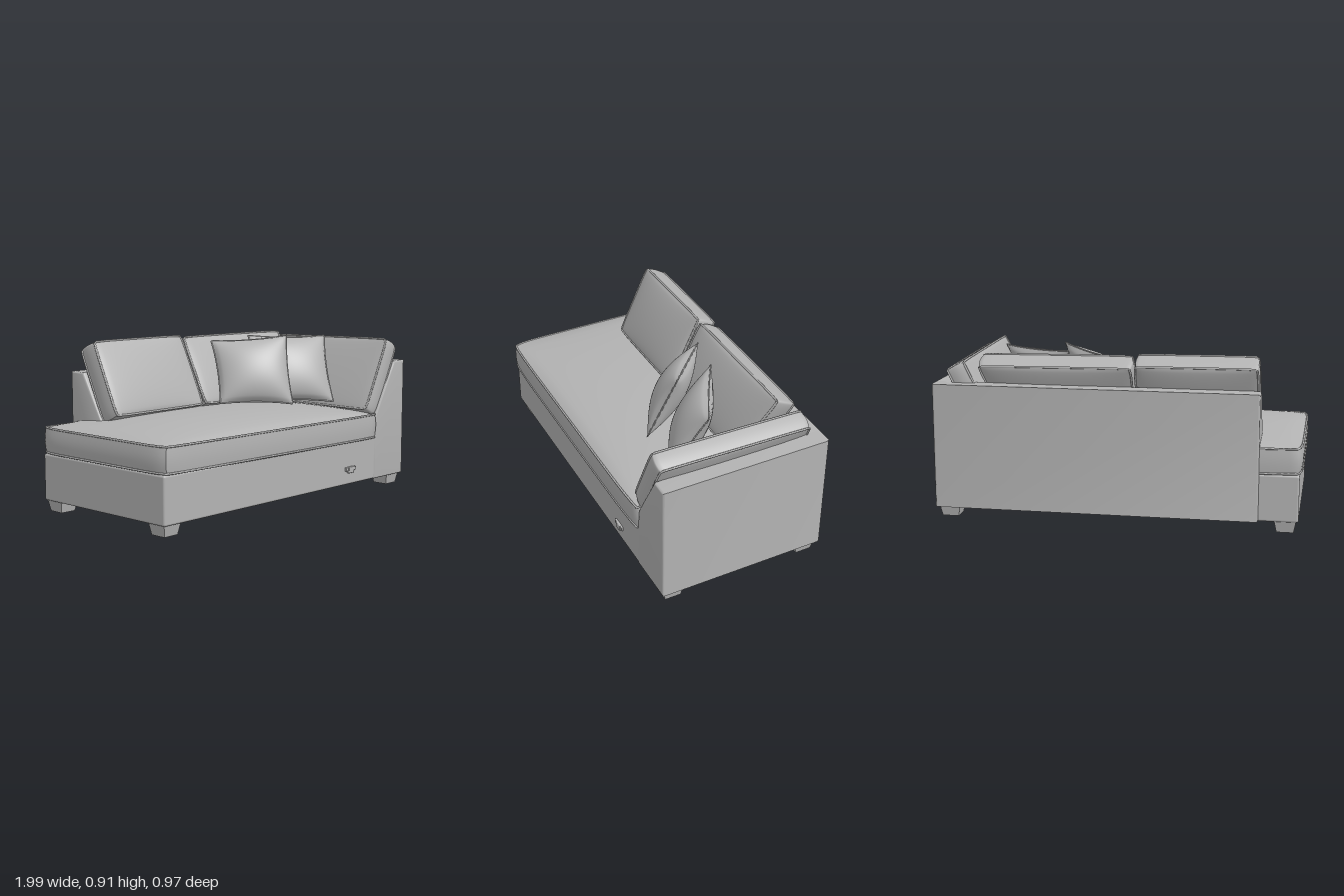
import * as THREE from 'three';
import { toCreasedNormals } from 'three/addons/utils/BufferGeometryUtils.js';
import { RoundedBoxGeometry } from 'three/addons/geometries/RoundedBoxGeometry.js';
import { ParametricGeometry } from 'three/addons/geometries/ParametricGeometry.js';

const V = (x, y, z) => new THREE.Vector3(x, y, z);

export function createModel() {
  const sofa = new THREE.Group();
  sofa.name = 'sofa';
  const fabric = new THREE.MeshStandardMaterial({ color: 0xb3b3b3 });
  fabric.name = 'greyFabric';

  function add(geometry, name, parent = sofa) {
    const mesh = new THREE.Mesh(geometry, fabric);
    mesh.name = name;
    parent.add(mesh);
    return mesh;
  }

  // Stuffed cushion around a quad (bottom left, bottom right, top right, top left).
  // edge: half thickness at the seam, puff: extra in the middle,
  // pinch: how far the sides curve in, round: corner rounding.
  function cushion(name, [bl, br, tr, tl], { edge, puff, pinch = 0, round = 0, bulge = 0, piping = 0.006 }) {
    const group = new THREE.Group();
    group.name = name;
    sofa.add(group);
    const normal = br.clone().sub(bl).cross(tl.clone().sub(bl)).normalize();

    function point(u, v, offset, scale, target) {
      let a = 2 * u - 1, b = 2 * v - 1;
      const corner = 1 - round * Math.pow(a * b, 8);
      const pa = a * corner * (1 - pinch * (1 - b * b)) * scale;
      const pb = b * corner * (1 - pinch * (1 - a * a)) * scale;
      a = (pa + 1) / 2;
      b = (pb + 1) / 2;
      return target.set(0, 0, 0)
        .addScaledVector(bl, (1 - a) * (1 - b)).addScaledVector(br, a * (1 - b))
        .addScaledVector(tr, a * b).addScaledVector(tl, (1 - a) * b)
        .addScaledVector(normal, offset);
    }
    // Point on the outline, counterclockwise, t from 0 to 1
    function outline(t) {
      const s = (t % 1) * 4, k = Math.floor(s), f = s - k;
      return [[f, 0], [1, f], [1 - f, 1], [0, 1 - f]][k];
    }
    const swell = (u, v) => edge + puff * Math.pow(Math.max(0, 16 * u * (1 - u) * v * (1 - v)), 0.55);

    const surface = (fn, cols, rows, part) => {
      const g = new ParametricGeometry(fn, cols, rows);
      g.computeVertexNormals();
      add(g, part, group);
    };
    surface((u, v, p) => point(u, v, swell(u, v), 1, p), 32, 32, 'frontPanel');
    surface((u, v, p) => point(1 - u, v, -swell(1 - u, v), 1, p), 32, 32, 'backPanel');
    if (edge > 0.01) {
      surface((t, v, p) => {
        const [a, b] = outline(t);
        return point(a, b, edge * (2 * v - 1), 1 + bulge * Math.sin(Math.PI * v), p);
      }, 128, 6, 'sidePanel');
    }
    // Piping along the seams
    for (const side of edge > 0.01 ? [1, -1] : [0]) {
      const pts = [];
      for (let i = 0; i < 96; i++) {
        const [a, b] = outline(i / 96);
        pts.push(point(a, b, edge * side, 1, V(0, 0, 0)));
      }
      add(new THREE.TubeGeometry(new THREE.CatmullRomCurve3(pts, true), 128, piping, 6, true), 'piping', group);
    }
  }

  // Base under the seat
  const base = add(new RoundedBoxGeometry(1.74, 0.255, 0.935, 3, 0.012), 'base');
  base.position.set(-0.11, 0.1875, -0.0045);

  // Arm and back share one sloped profile
  function slopedPanel(outer, length) {
    const shape = new THREE.Shape();
    [[-0.265, 0.07], [0, 0.07], [0, 0.728], [-0.08, 0.728], [-0.25, 0.43], [-0.265, 0.3]]
      .forEach(([x, y], i) => (i ? shape.lineTo(outer + x, y) : shape.moveTo(outer + x, y)));
    const g = new THREE.ExtrudeGeometry(shape, {
      depth: length - 0.024, bevelEnabled: true, bevelSize: 0.012, bevelThickness: 0.012, bevelSegments: 4,
    });
    return toCreasedNormals(g, 0.7);
  }
  const arm = add(slopedPanel(0.983, 0.95), 'arm');
  arm.position.z = -0.473;
  const back = add(slopedPanel(0.476, 1.762), 'back');
  back.rotation.y = Math.PI / 2;
  back.position.x = -0.757;

  // Seat cushion
  cushion('seatCushion',
    [V(-0.99, 0.39, 0.48), V(0.73, 0.375, 0.48), V(0.73, 0.375, -0.475), V(-0.99, 0.39, -0.475)],
    { edge: 0.067, puff: 0.065, round: 0.025, bulge: 0.008 });

  // Back cushions, leaning back
  const leaning = { edge: 0.058, puff: 0.025, round: 0.02, bulge: 0.02 };
  cushion('backCushionRight',
    [V(-0.75, 0.5, -0.19), V(-0.1, 0.5, -0.19), V(-0.1, 0.88, -0.37), V(-0.75, 0.885, -0.37)], leaning);
  cushion('backCushionLeft',
    [V(-0.08, 0.5, -0.19), V(0.63, 0.49, -0.19), V(0.755, 0.86, -0.37), V(-0.08, 0.87, -0.37)], leaning);

  // Arm cushion
  cushion('armCushion',
    [V(0.69, 0.45, -0.41), V(0.69, 0.45, 0.45), V(0.885, 0.85, 0.45), V(0.885, 0.83, -0.41)],
    { ...leaning, edge: 0.052, puff: 0.015 });

  // Throw pillows
  const soft = { edge: 0, puff: 0.085, pinch: 0.06, piping: 0.004 };
  cushion('pillowRight',
    [V(-0.04, 0.53, -0.06), V(0.29, 0.52, 0.2), V(0.38, 0.9, 0.07), V(0.06, 0.87, -0.23)], soft);
  cushion('pillowLeft',
    [V(0.25, 0.52, 0), V(0.615, 0.505, 0.235), V(0.725, 0.88, 0.07), V(0.31, 0.89, -0.17)], soft);

  // Tapered feet
  for (const x of [-0.91, 0.92]) {
    for (const z of [-0.405, 0.39]) {
      let g = new THREE.CylinderGeometry(0.083, 0.064, 0.07, 4);
      g.rotateY(Math.PI / 4);
      g = g.toNonIndexed();
      g.computeVertexNormals();
      add(g, 'foot').position.set(x, 0.035, z);
    }
  }

  // Small pull latch on the front
  const latch = new THREE.Group();
  latch.name = 'latch';
  latch.position.set(0.485, 0.145, 0.467);
  sofa.add(latch);
  add(new RoundedBoxGeometry(0.09, 0.022, 0.014, 2, 0.004), 'latchPlate', latch).position.y = 0.006;
  add(new RoundedBoxGeometry(0.05, 0.036, 0.022, 2, 0.005), 'latchGrip', latch);

  return sofa;
}
